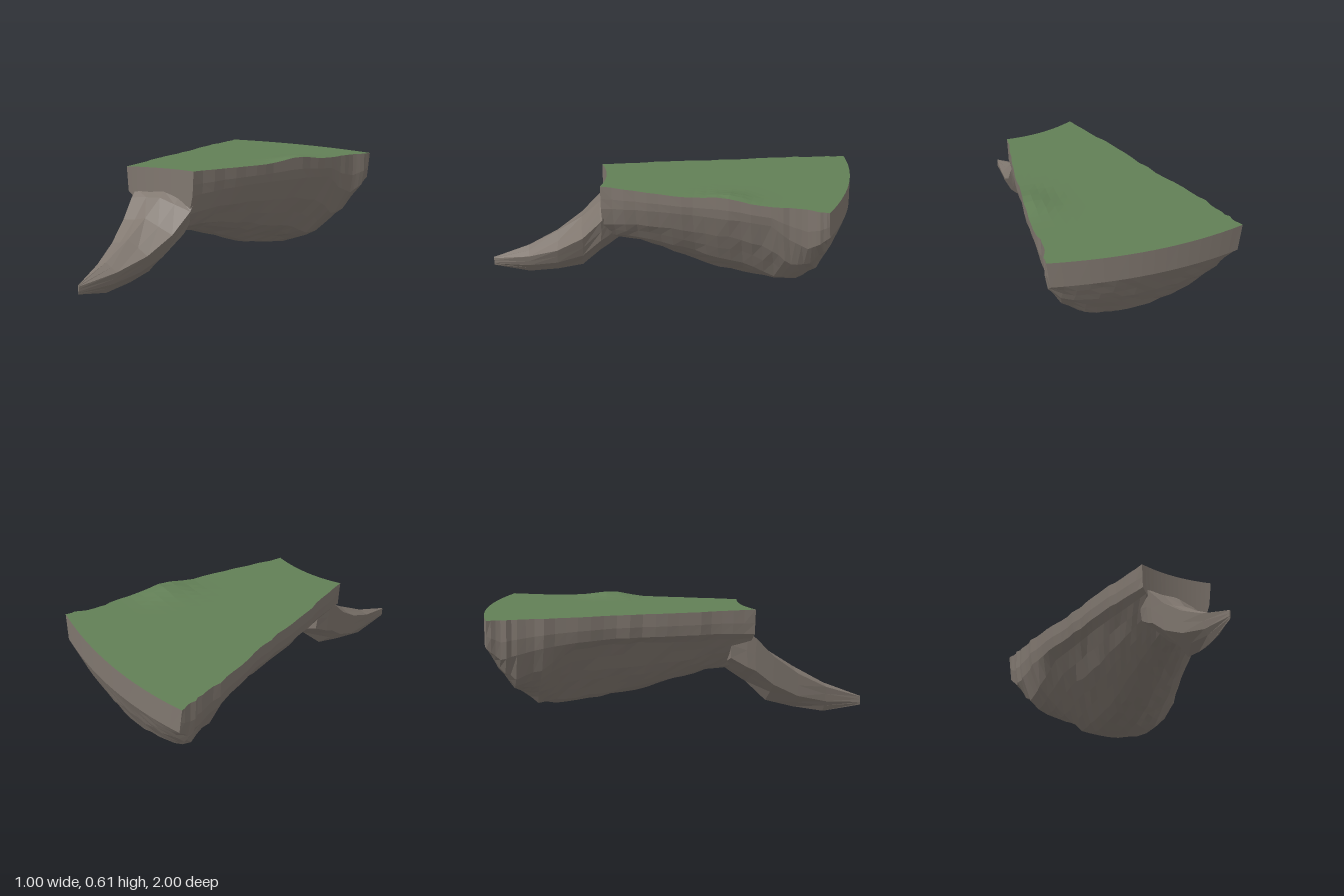
import * as THREE from 'three';

const grass = new THREE.MeshStandardMaterial({ color: 0x627f56, flatShading: true });
grass.name = 'grass green';
const rock = new THREE.MeshStandardMaterial({ color: 0x80776f, flatShading: true });
rock.name = 'rock grey';

const { lerp } = THREE.MathUtils;

// Repeatable hash in -1..1 for rough stone
const rough = (a, b = 0) => {
  const n = Math.sin(a * 127.1 + b * 311.7 + 4.3) * 43758.5453;
  return (n - Math.floor(n)) * 2 - 1;
};

// Surface through rows of points, optionally closed around each row
function patch(name, rows, material, flip = false, closed = false) {
  const pos = [];
  const tri = (p, q, r) => pos.push(...p, ...(flip ? r : q), ...(flip ? q : r));
  for (let i = 0; i < rows.length - 1; i++) {
    const n = rows[i].length;
    for (let j = 0; j < (closed ? n : n - 1); j++) {
      const k = (j + 1) % n;
      tri(rows[i][j], rows[i + 1][j], rows[i + 1][k]);
      tri(rows[i][j], rows[i + 1][k], rows[i][k]);
    }
  }
  const g = new THREE.BufferGeometry();
  g.setAttribute('position', new THREE.Float32BufferAttribute(pos, 3));
  g.computeVertexNormals();
  const mesh = new THREE.Mesh(g, material);
  mesh.name = name;
  return mesh;
}

// Stations from front to back: left x, z, right x, z
const EDGES = [
  [-0.43, 0.38, -0.02, 0.40], [-0.44, 0.2, 0.07, 0.22], [-0.455, 0.03, 0.16, 0.04],
  [-0.465, -0.15, 0.24, -0.13], [-0.465, -0.35, 0.32, -0.31], [-0.49, -0.55, 0.385, -0.46],
  [-0.495, -0.72, 0.40, -0.55], [-0.495, -0.85, 0.44, -0.64], [-0.495, -0.93, 0.475, -0.695],
  [-0.497, -1, 0.497, -0.74],
];
// Underside heights of each station at the fractions ACROSS
const ACROSS = [0, 0.07, 0.2, 0.4, 0.6, 0.8, 0.93, 1];
const DEPTH = [
  [0.45, 0.42, 0.36, 0.27, 0.25, 0.28, 0.34, 0.45],
  [0.46, 0.42, 0.33, 0.24, 0.23, 0.28, 0.37, 0.47],
  [0.46, 0.42, 0.30, 0.19, 0.175, 0.25, 0.37, 0.48],
  [0.46, 0.42, 0.28, 0.14, 0.11, 0.21, 0.36, 0.48],
  [0.46, 0.42, 0.27, 0.11, 0.08, 0.18, 0.35, 0.48],
  [0.45, 0.40, 0.26, 0.08, 0.06, 0.12, 0.30, 0.47],
  [0.43, 0.30, 0.20, 0.08, 0.075, 0.115, 0.22, 0.40],
  [0.40, 0.25, 0.20, 0.17, 0.165, 0.18, 0.25, 0.36],
  [0.38, 0.32, 0.31, 0.30, 0.30, 0.31, 0.33, 0.40],
  [0.44, 0.44, 0.44, 0.44, 0.44, 0.44, 0.44, 0.44],
];
const SPLIT = 3, COLS = 16, ROWS = (EDGES.length - 1) * SPLIT;

function blend(table, i) {
  const a = Math.min(Math.floor(i / SPLIT), table.length - 2);
  return table[a].map((v, k) => lerp(v, table[a + 1][k], i / SPLIT - a));
}

// Plan position at row i and fraction u, with bowed ends and ragged sides
function plan(i, u) {
  const [lx, lz, rx, rz] = blend(EDGES, i);
  const inner = i > 0 && i < ROWS ? 0.007 : 0;
  const x = lerp(lx + inner * rough(i, 1), rx + inner * rough(i, 2), u);
  const bow = -lerp(0.03, 0.065, i / ROWS) * 4 * u * (1 - u);
  return [x, lerp(lz, rz, u) + bow];
}

// Grass height with its low hump
function topPoint(i, j) {
  const [x, z] = plan(i, j / COLS);
  const d = ((x - 0.25) / 0.1) ** 2 + ((z + 0.25) / 0.12) ** 2;
  return [x, 0.579 + 0.027 * Math.exp(-d), z];
}

function lowPoint(i, j) {
  const u = j / COLS;
  const [x, z] = plan(i, 0.02 + 0.96 * u);
  const row = blend(DEPTH, i);
  let k = 0;
  while (k < ACROSS.length - 2 && u > ACROSS[k + 1]) k++;
  const y = lerp(row[k], row[k + 1], (u - ACROSS[k]) / (ACROSS[k + 1] - ACROSS[k]));
  const inside = i > 0 && i < ROWS && j > 0 && j < COLS;
  return [x, y + (inside ? 0.006 * rough(i, j) : 0), z];
}

const range = (n, f) => Array.from({ length: n + 1 }, (_, i) => f(i));

// Tusk sections from tip to root: left, crest, right, lower right, keel, lower left
const TUSK = [
  [1, [-0.333, 0.075], [-0.33, 0.078], [-0.327, 0.07], [-0.327, 0.045], [-0.33, 0.03], [-0.333, 0.045]],
  [0.8, [-0.35, 0.14], [-0.30, 0.155], [-0.235, 0.11], [-0.255, 0.05], [-0.30, 0.0], [-0.338, 0.06]],
  [0.64, [-0.364, 0.22], [-0.27, 0.245], [-0.155, 0.17], [-0.195, 0.085], [-0.26, 0.025], [-0.356, 0.1]],
  [0.5, [-0.38, 0.32], [-0.25, 0.335], [-0.09, 0.26], [-0.15, 0.14], [-0.23, 0.06], [-0.37, 0.17]],
  [0.4, [-0.39, 0.42], [-0.22, 0.43], [-0.04, 0.37], [-0.08, 0.25], [-0.19, 0.16], [-0.378, 0.25]],
  [0.355, [-0.39, 0.46], [-0.22, 0.46], [-0.035, 0.43], [-0.08, 0.28], [-0.19, 0.19], [-0.375, 0.27]],
  [0.27, [-0.38, 0.46], [-0.22, 0.46], [-0.05, 0.42], [-0.10, 0.32], [-0.20, 0.25], [-0.36, 0.32]],
];

// Extra rough point between corners for faceted stone
function tuskRings() {
  return TUSK.map(([z, ...pts], i) => {
    const ring = [];
    pts.forEach((p, k) => {
      const q = pts[(k + 1) % pts.length];
      const w = 0.006 * Math.min(1, i / 2);
      ring.push([p[0], p[1], z]);
      ring.push([(p[0] + q[0]) / 2, (p[1] + q[1]) / 2 + w * rough(i, k), z + w * rough(k, i)]);
    });
    return ring.reverse();
  });
}

export function createModel() {
  const group = new THREE.Group();
  group.name = 'cliffWedge';

  // Ground
  group.add(patch('grassTop', range(ROWS, i => range(COLS, j => topPoint(i, j))), grass, true));

  // Ragged side walls, bulging slightly except at the corners
  const side = (name, j, flip) => group.add(patch(name, range(ROWS, i => {
    const t = topPoint(i, j), b = lowPoint(i, j);
    const m = t.map((v, k) => lerp(v, b[k], 0.55));
    if (i > 0 && i < ROWS) m[0] = lerp(t[0], b[0], 0.2);
    return [t, m, b];
  }), rock, flip));
  side('leftRim', COLS, true);
  side('rightRim', 0, false);

  // Hanging underside
  group.add(patch('rockUnderside', range(ROWS, i => range(COLS, j => lowPoint(i, j))), rock));

  // End walls
  const end = (name, i, flip) => group.add(patch(name,
    [range(COLS, j => topPoint(i, j)), range(COLS, j => lowPoint(i, j))], rock, flip));
  end('frontWall', 0, false);
  end('backWall', ROWS, true);

  // Curved stone tusk, with its blunt tip and root closed
  const rings = tuskRings();
  const middle = ring => ring.map(() => [0, 1, 2].map(k => ring.reduce((s, p) => s + p[k], 0) / ring.length));
  const all = [middle(rings[0]), ...rings, middle(rings[rings.length - 1])];
  group.add(patch('stoneTusk', all, rock, false, true));
  return group;
}
